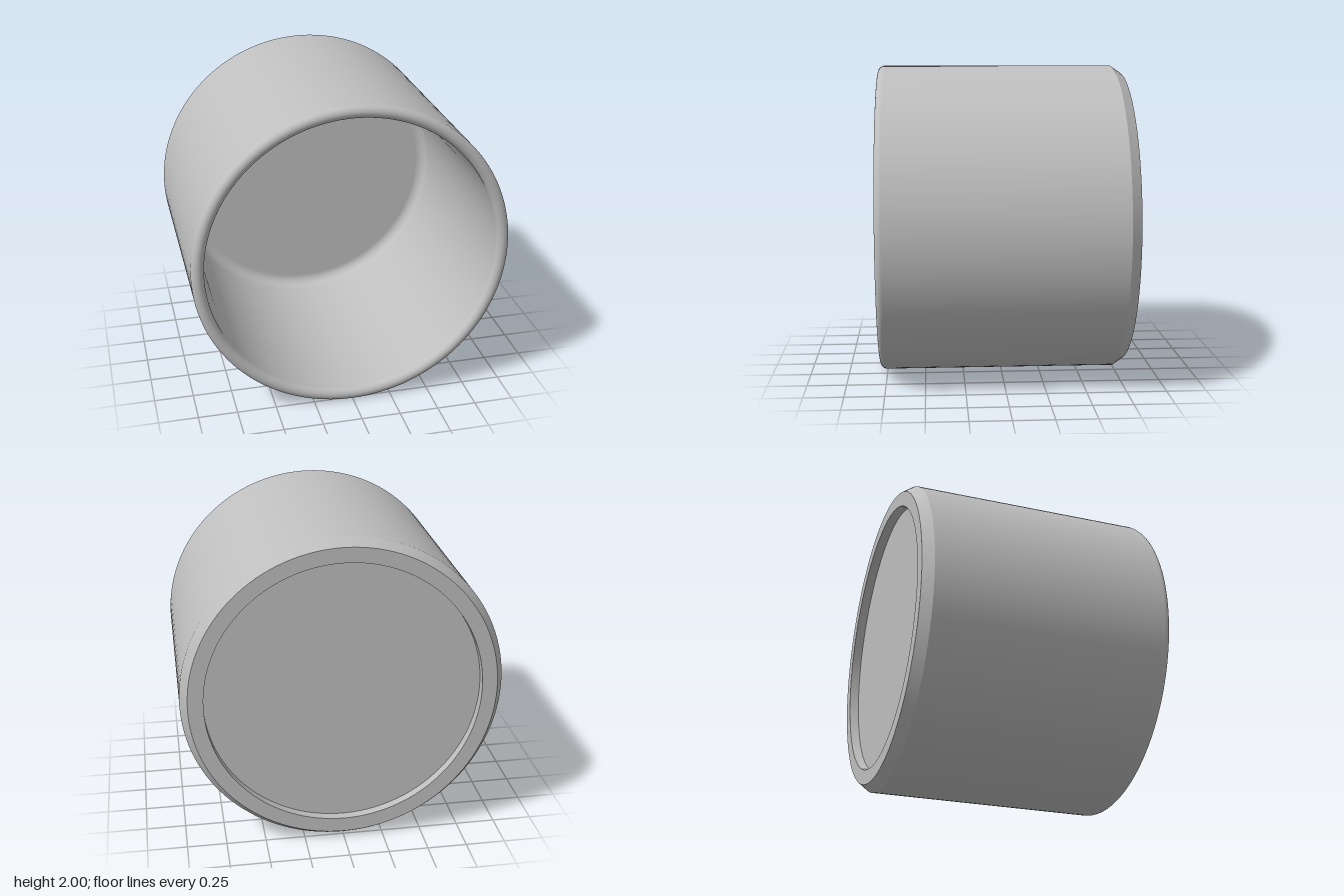
import * as THREE from 'three';

export function createModel() {
  const group = new THREE.Group();
  const grey = new THREE.MeshStandardMaterial({ color: 0xbfbfbf });
  grey.name = 'grey';

  // Revolves one [radius, z] profile run around the z axis; runs meet at sharp edges
  const revolve = (name, profile) => {
    const points = profile.map(([r, z]) => new THREE.Vector2(r, z));
    const geometry = new THREE.LatheGeometry(points, 128).rotateX(Math.PI / 2);
    const mesh = new THREE.Mesh(geometry, grey);
    mesh.name = name;
    group.add(mesh);
  };

  // Profile points along an arc, angles in quarter turns
  const arc = (r, z, radius, from, to, steps) =>
    Array.from({ length: steps + 1 }, (_, i) => {
      const a = (from + (to - from) * i / steps) * Math.PI / 2;
      return [r + radius * Math.cos(a), z + radius * Math.sin(a)];
    });

  // Closed back with a shallow recess
  revolve('recessFloor', [[0, -0.73], [0.86, -0.73]]);
  revolve('recessWall', [[0.86, -0.73], [0.86, -0.79]]);
  revolve('backRim', [[0.86, -0.79], [0.955, -0.79]]);
  revolve('backChamfer', [[0.955, -0.79], [1, -0.725]]);

  // Outer wall, rounded lip and inner wall
  revolve('outerWall', [[1, -0.725], [1, 0.75]]);
  revolve('roundedLip', arc(0.96, 0.75, 0.04, 0, 2, 20));
  revolve('innerWall', [[0.92, 0.75], [0.92, -0.62]]);

  // Rounded inner corner and cup floor
  revolve('innerFillet', arc(0.85, -0.62, 0.07, 0, -1, 12));
  revolve('cupFloor', [[0.85, -0.69], [0, -0.69]]);

  // Stand the cup on y = 0
  group.children.forEach((mesh) => { mesh.position.y = 1; });
  return group;
}
